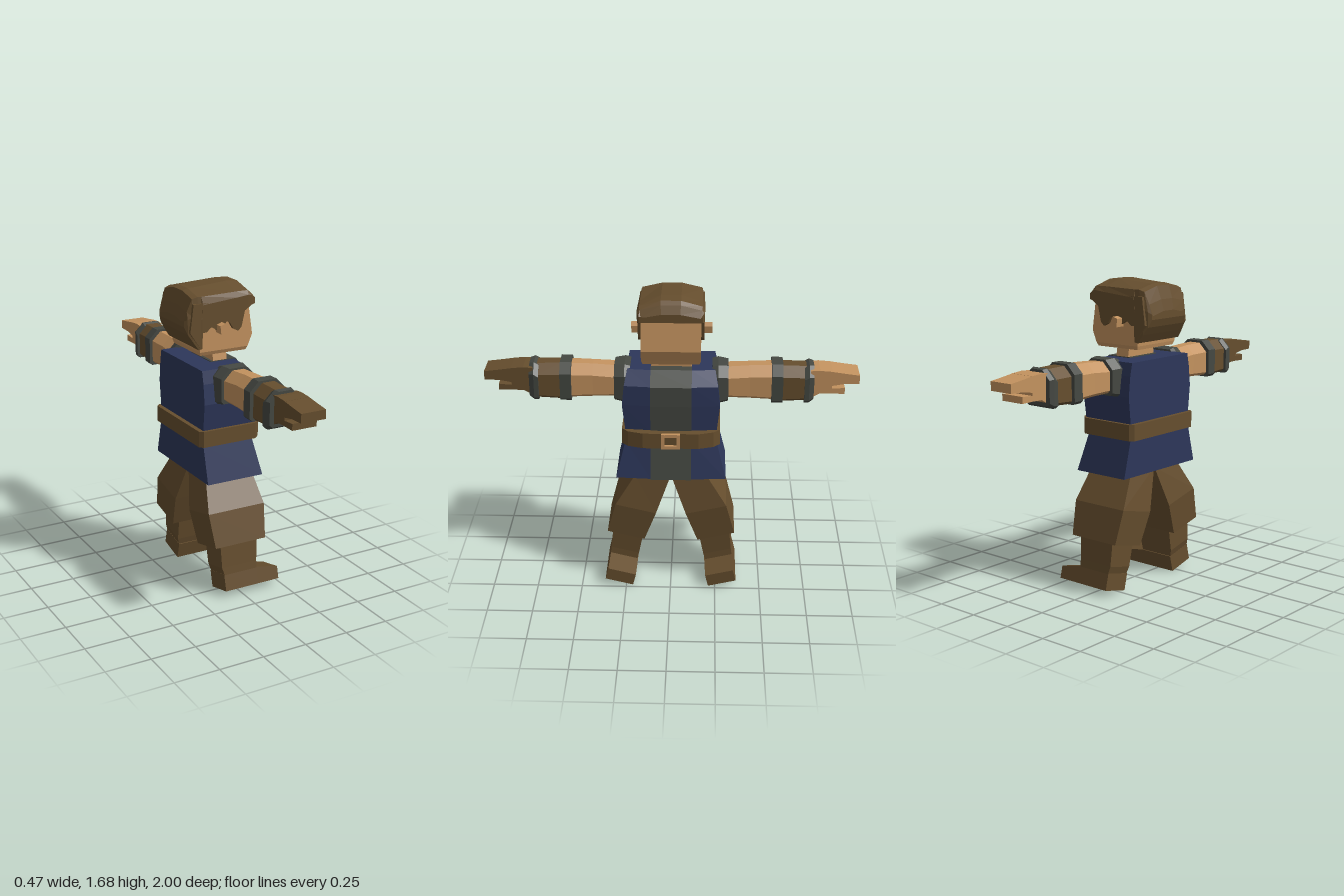
import * as THREE from 'three';

const mat = (name, color) => {
  const m = new THREE.MeshStandardMaterial({ color, flatShading: true });
  m.name = name;
  return m;
};

export function createModel() {
  const model = new THREE.Group();
  model.name = 'figure';
  const brown = mat('brown', 0x664e2e);
  const skin = mat('skin', 0xc4935f);
  const navy = mat('navy', 0x2d375a);
  const grey = mat('grey', 0x454842);

  const add = (name, geometry, material) => {
    const mesh = new THREE.Mesh(geometry, material);
    mesh.name = name;
    model.add(mesh);
    return mesh;
  };

  // Closed solid through equal-length rings, turned outward by its signed volume
  const loft = (name, rings, material) => {
    const tris = [];
    const n = rings[0].length;
    for (let r = 0; r < rings.length - 1; r++) {
      for (let i = 0; i < n; i++) {
        const j = (i + 1) % n;
        const [a, b, c, d] = [rings[r][i], rings[r][j], rings[r + 1][j], rings[r + 1][i]];
        tris.push([a, b, c], [a, c, d]);
      }
    }
    const last = rings[rings.length - 1];
    for (let i = 1; i < n - 1; i++) {
      tris.push([rings[0][0], rings[0][i + 1], rings[0][i]], [last[0], last[i], last[i + 1]]);
    }
    let volume = 0;
    for (const t of tris) {
      const [a, b, c] = t.map(p => new THREE.Vector3(...p));
      volume += a.dot(b.cross(c));
    }
    const flat = tris.flatMap(([a, b, c]) => (volume < 0 ? [a, c, b] : [a, b, c])).flat();
    const g = new THREE.BufferGeometry();
    g.setAttribute('position', new THREE.Float32BufferAttribute(flat, 3));
    g.computeVertexNormals();
    return add(name, g, material);
  };

  const box = (name, x0, x1, y0, y1, z0, z1, material) => {
    const g = new THREE.BoxGeometry(x1 - x0, y1 - y0, z1 - z0);
    g.translate((x0 + x1) / 2, (y0 + y1) / 2, (z0 + z1) / 2);
    return add(name, g, material);
  };

  const extrudeZ = (name, points, z0, z1, material) => {
    const shape = new THREE.Shape(points.map(p => new THREE.Vector2(...p)));
    const g = new THREE.ExtrudeGeometry(shape, { depth: z1 - z0, bevelEnabled: false });
    g.translate(0, 0, z0);
    return add(name, g, material);
  };

  // Tunic, flaring at the hem, with a shallow pointed front
  const profile = [ // y, front x, half width
    [0.655, 0.155, 0.3], [0.86, 0.115, 0.248], [0.93, 0.135, 0.245],
    [1.09, 0.14, 0.262], [1.2, 0.138, 0.25], [1.27, 0.072, 0.235],
  ];
  loft('tunic', profile.map(([y, x, w]) => [
    [-0.18, y, -w], [x, y, -w], [x + 0.012, y, -0.11],
    [x + 0.012, y, 0.11], [x, y, w], [-0.18, y, w],
  ]), navy);
  loft('frontPanel', profile.map(([y, x], i) => {
    const h = i === 0 ? y - 0.002 : i === 5 ? y + 0.004 : y;
    return [[-0.06, h, -0.11], [x + 0.018, h, -0.11], [x + 0.018, h, 0.11], [-0.06, h, 0.11]];
  }), grey);

  // Belt and buckle frame
  loft('belt', [0.857, 0.945].map(y => [
    [-0.205, y, -0.245], [-0.185, y, -0.265], [0.13, y, -0.265], [0.165, y, -0.23],
    [0.19, y, -0.15], [0.19, y, 0.15], [0.165, y, 0.23], [0.13, y, 0.265],
    [-0.185, y, 0.265], [-0.205, y, 0.245],
  ]), brown);
  for (const s of [-1, 1]) {
    const z = s * 0.041;
    box('buckleSide', 0.185, 0.205, 0.86, 0.945, z - 0.009, z + 0.009, skin);
    const y = 0.9025 + s * 0.034;
    box('buckleBar', 0.185, 0.204, y - 0.009, y + 0.009, -0.04, 0.04, skin);
  }

  // Neck and head
  loft('neck', [[1.24, 0.115], [1.35, 0.095]].map(([y, w]) => [
    [-0.045, y, -w], [0.038, y, -w], [0.038, y, w], [-0.045, y, w],
  ]), skin);
  loft('head', [
    [1.325, -0.145, 0.13, 0.148], [1.345, -0.15, 0.138, 0.157], [1.41, -0.155, 0.165, 0.157],
    [1.56, -0.155, 0.143, 0.157], [1.62, -0.15, 0.13, 0.15],
  ].map(([y, b, f, w]) => [[b, y, -w], [f, y, -w], [f, y, w], [b, y, w]]), skin);

  // Hair: cap and back in one solid, cut along x
  loft('hair', [ // x, bottom, shoulder, top, half width
    [-0.235, 1.49, 1.51, 1.53, 0.14], [-0.22, 1.45, 1.57, 1.59, 0.155],
    [-0.195, 1.41, 1.635, 1.66, 0.165], [-0.165, 1.365, 1.645, 1.67, 0.172],
    [-0.145, 1.37, 1.645, 1.67, 0.175], [-0.14, 1.52, 1.645, 1.67, 0.175],
    [0.06, 1.55, 1.65, 1.685, 0.176], [0.13, 1.565, 1.65, 1.68, 0.176],
    [0.15, 1.57, 1.635, 1.662, 0.173], [0.175, 1.575, 1.6, 1.62, 0.165],
  ].map(([x, b, s, t, w]) => [
    [x, b, -w], [x, (b + s) / 2 + 0.02, -w], [x, s, -w * 0.93], [x, t, -w * 0.3],
    [x, t, w * 0.3], [x, s, w * 0.93], [x, (b + s) / 2 + 0.02, w], [x, b, w],
  ]), brown);

  for (const s of [-1, 1]) {
    const side = (a, b) => (s > 0 ? [a, b] : [-b, -a]);

    // Ragged side locks and ear
    extrudeZ('sideHair', [
      [-0.215, 1.46], [-0.155, 1.37], [-0.15, 1.455], [-0.12, 1.455], [-0.09, 1.48],
      [-0.05, 1.455], [-0.02, 1.47], [0, 1.5], [0.02, 1.49], [0.04, 1.455], [0.07, 1.44],
      [0.09, 1.46], [0.11, 1.545], [0.15, 1.57], [0.15, 1.61], [-0.195, 1.61],
    ], ...side(0.15, 0.174), brown);
    extrudeZ('ear', [
      [-0.055, 1.445], [-0.025, 1.44], [-0.018, 1.48], [-0.03, 1.5], [-0.06, 1.49],
    ], ...side(0.15, 0.215), skin);

    // Arm pieces, octagons along z
    const sleeve = (name, material, ...cuts) => loft(name, cuts.map(([z, x0, x1, y0, y1]) => {
      const c = 0.05;
      const d = 0.015;
      return [
        [x0 + c, y1], [x1 - c, y1], [x1, y1 - c], [x1, y0 + d],
        [x1 - d, y0], [x0 + d, y0], [x0, y0 + d], [x0, y1 - c],
      ].map(([x, y]) => [x, y, z * s]);
    }), material);
    sleeve('sleeveBand', grey, [0.22, -0.12, 0.1, 1.085, 1.28], [0.25, -0.12, 0.105, 1.085, 1.288],
      [0.305, -0.105, 0.095, 1.095, 1.283]);
    sleeve('upperArm', skin, [0.27, -0.09, 0.08, 1.11, 1.27], [0.42, -0.082, 0.077, 1.105, 1.28],
      [0.55, -0.088, 0.08, 1.1, 1.283]);
    sleeve('elbowCuff', grey, [0.535, -0.105, 0.1, 1.09, 1.295], [0.595, -0.105, 0.1, 1.09, 1.295]);
    sleeve('bracer', brown, [0.59, -0.085, 0.085, 1.093, 1.285], [0.72, -0.085, 0.085, 1.1, 1.283]);
    sleeve('wristCuff', grey, [0.71, -0.1, 0.095, 1.09, 1.275], [0.735, -0.1, 0.095, 1.09, 1.29],
      [0.76, -0.09, 0.085, 1.105, 1.285]);

    // Hand: palm, fingers and thumb; one hand gloved
    const handMat = s > 0 ? brown : skin;
    const slab = (name, cuts) => loft(name, cuts.map(([z, y0, y1]) => [
      [-0.065, y0, z * s], [0.075, y0, z * s], [0.075, y1, z * s], [-0.065, y1, z * s],
    ]), handMat);
    slab('palm', [[0.74, 1.11, 1.27], [0.79, 1.14, 1.273], [0.855, 1.142, 1.268]]);
    slab('fingers', [[0.85, 1.185, 1.268], [0.92, 1.198, 1.258], [1, 1.2, 1.248]]);
    slab('thumb', [[0.85, 1.142, 1.17], [0.925, 1.14, 1.175]]);

    // Legs splay outward, each cut tilted with the leg
    const cut = (y, x0, x1, zc, hw, slope = 0.24) =>
      [[x0, -hw], [x1, -hw], [x1, hw], [x0, hw]].map(([x, z]) => [x, y + slope * z, (zc + z) * s]);
    loft('trouserLeg', [
      cut(0.278, -0.163, 0.145, 0.2525, 0.103), cut(0.46, -0.18, 0.163, 0.195, 0.112),
      cut(0.66, -0.14, 0.14, 0.1, 0.098, 0), cut(0.76, -0.13, 0.11, 0.1, 0.098, 0),
    ], brown);
    loft('shin', [
      cut(0.1, -0.1, 0.1, 0.272, 0.075), cut(0.15, -0.115, 0.1, 0.262, 0.078),
      cut(0.3, -0.12, 0.11, 0.24, 0.085),
    ], brown);
    loft('shoe', [[-0.105, 0.095], [0.1, 0.095], [0.23, 0.07]].map(([x, h]) =>
      [[0, -0.08], [h, -0.08], [h, 0.08], [0, 0.08]].map(([y, z]) =>
        [x, 0.0195 + 0.97 * y + 0.24 * z, (0.29 - 0.24 * y + 0.97 * z) * s])), brown);
  }
  return model;
}
